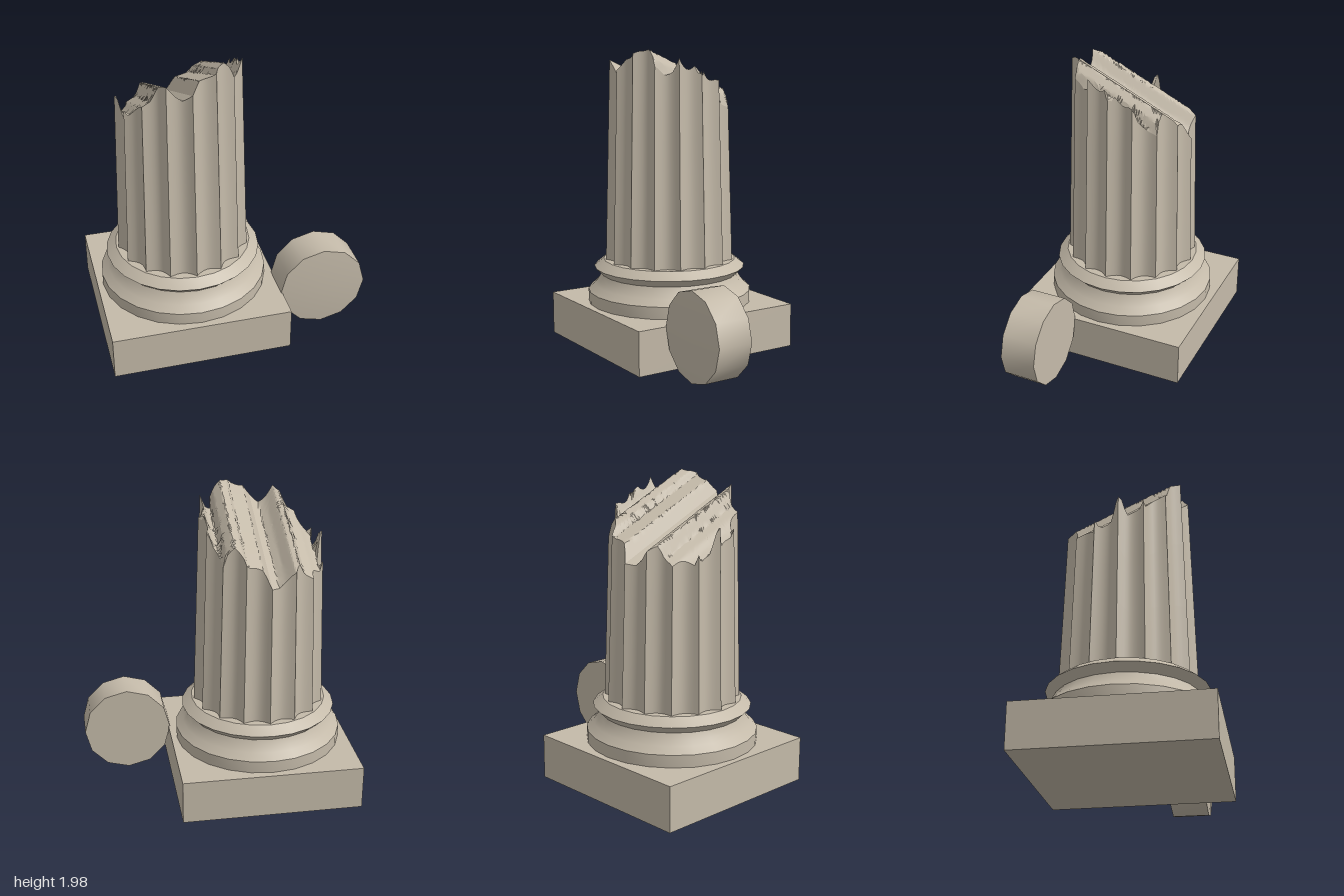
import * as THREE from 'three';
import { toCreasedNormals } from 'three/addons/utils/BufferGeometryUtils.js';

const CX = -0.285, BASE = 0.575, FLUTES = 16, PER = 8, N = FLUTES * PER;
const SLOPE = 0.46; // the break rises towards the front

// jagged break line across the shaft: [x from axis, height at z = 0]
const BREAK = [
  [-0.45, 1.71], [-0.385, 1.7], [-0.36, 1.56], [-0.32, 1.59], [-0.285, 1.625],
  [-0.225, 1.66], [-0.185, 1.75], [-0.15, 1.745], [-0.095, 1.675], [-0.05, 1.64],
  [0, 1.67], [0.05, 1.76], [0.145, 1.785], [0.165, 1.825], [0.215, 1.857],
  [0.265, 1.8], [0.285, 1.725], [0.325, 1.77], [0.362, 1.865], [0.375, 1.83], [0.45, 1.83],
];

function breakHeight(x, z) {
  let i = 1;
  while (i < BREAK.length - 1 && x > BREAK[i][0]) i++;
  const [x0, y0] = BREAK[i - 1], [x1, y1] = BREAK[i];
  return y0 + (y1 - y0) * (x - x0) / (x1 - x0) + SLOPE * z;
}

// fluted, tapering radius
function shaftRadius(i, y) {
  const t = ((i % PER) / PER) * 2 - 1;
  return (0.432 - 0.03 * (y - BASE)) * (1 - 0.1 * (1 - t * t));
}

// point on the broken rim, settled by iteration
function rimPoint(i) {
  const a = (i / N) * Math.PI * 2;
  let y = 1.7, x, z;
  for (let k = 0; k < 12; k++) {
    const r = shaftRadius(i, y);
    x = r * Math.sin(a);
    z = r * Math.cos(a);
    y = breakHeight(x, z);
  }
  return [x, y, z];
}

// grid of points closed around the axis, rows running upward or inward
function ringGeometry(rows, point) {
  const pos = [], index = [];
  for (let j = 0; j <= rows; j++)
    for (let i = 0; i < N; i++) pos.push(...point(i, j / rows));
  for (let j = 0; j < rows; j++)
    for (let i = 0; i < N; i++) {
      const a = j * N + i, b = j * N + (i + 1) % N;
      index.push(a, b, b + N);
      if (j < rows - 1 || point(0, 1)[0] !== point(N / 4, 1)[0]) index.push(a, b + N, a + N);
    }
  const g = new THREE.BufferGeometry();
  g.setAttribute('position', new THREE.Float32BufferAttribute(pos, 3));
  g.setIndex(index);
  return g;
}

function lathe(points, sides) {
  const g = new THREE.LatheGeometry(points.map(p => new THREE.Vector2(...p)), sides);
  return toCreasedNormals(g, 0.6);
}

export function createModel() {
  const group = new THREE.Group();
  const stone = new THREE.MeshStandardMaterial({ color: 0xc4baa9 });
  stone.name = 'weathered stone';
  const add = (name, geometry, x, y, z) => {
    const mesh = new THREE.Mesh(geometry, stone);
    mesh.name = name;
    mesh.position.set(x, y, z);
    group.add(mesh);
    return mesh;
  };

  // square plinth
  add('plinth', new THREE.BoxGeometry(1.175, 0.29, 1.185), CX, 0.145, 0);

  // moulded round base
  add('baseMoulding', lathe([
    [0, 0.285], [0.55, 0.285], [0.55, 0.37], [0.505, 0.41], [0.482, 0.44], [0.462, 0.475],
    [0.46, 0.48], [0.508, 0.528], [0.445, 0.578], [0, 0.578],
  ], 24), CX, 0, 0);

  // fluted shaft wall, from the base up to the broken rim
  const rim = Array.from({ length: N }, (_, i) => rimPoint(i));
  const wall = ringGeometry(3, (i, t) => {
    const a = (i / N) * Math.PI * 2;
    const y = BASE + (rim[i][1] - BASE) * t;
    const r = shaftRadius(i, y);
    return [r * Math.sin(a), y, r * Math.cos(a)];
  });
  add('flutedShaft', toCreasedNormals(wall, 0.5), CX, 0, 0);

  // ridged broken surface
  const top = ringGeometry(32, (i, t) => {
    if (t === 0) return rim[i];
    const x = rim[i][0] * (1 - t), z = rim[i][2] * (1 - t);
    return [x, breakHeight(x, z), z];
  });
  add('brokenTop', toCreasedNormals(top, 0.35), CX, 0, 0);

  // fallen drum lying on its rim, with a slightly pointed front
  const drum = add('fallenDrum', lathe([
    [0, 0], [0.29, 0], [0.29, 0.235], [0, 0.26],
  ], 12), 0.583, 0.29, 0.157);
  drum.rotation.x = Math.PI / 2;

  return group;
}
